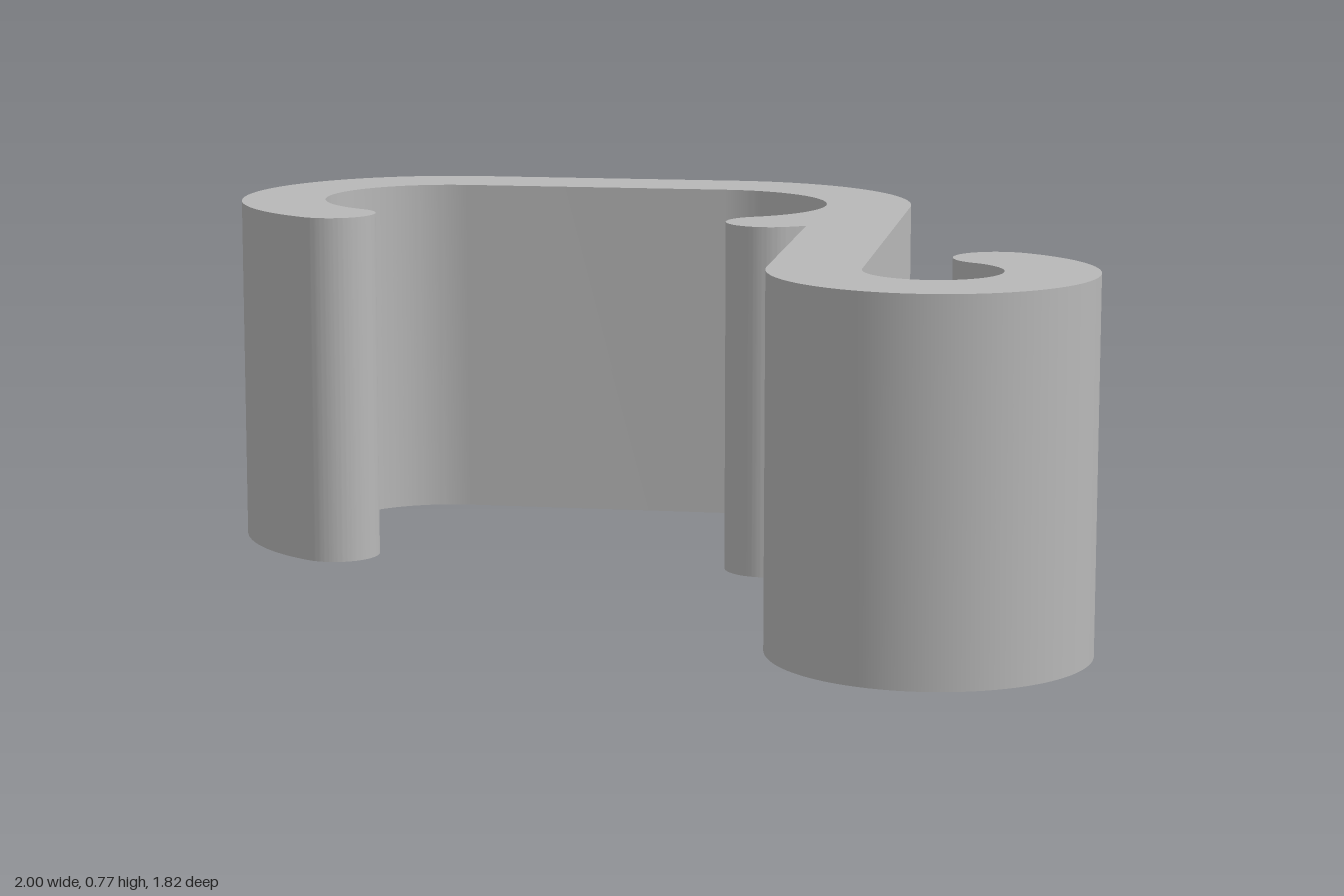
import * as THREE from 'three';
import { toCreasedNormals } from 'three/addons/utils/BufferGeometryUtils.js';

const HEIGHT = 0.77;
const WALL = 0.19; // strip thickness
const rad = THREE.MathUtils.degToRad;

export function createModel() {
  const group = new THREE.Group();
  group.name = 'hookClip';
  const grey = new THREE.MeshStandardMaterial({ color: 0xb8b8b8 });
  grey.name = 'grey plastic';

  // Bend centres; the shape's y is -z of the model
  const left = [-0.54, 0.45], right = [0.07, 0.45], hook = [0.67, -0.58];
  const clipOuter = 0.46, clipInner = clipOuter - WALL;
  const hookOuter = 0.33, hookInner = hookOuter - WALL;

  const shape = new THREE.Shape();
  // Arc by start and end angle in degrees; clockwise when the angle falls
  const arc = ([x, y], r, from, to) =>
    shape.absarc(x, y, r, rad(from), rad(to), to < from);
  // Round end of the strip at a given angle of a bend
  const cap = ([x, y], innerR, angle, from) => {
    const r = innerR + WALL / 2;
    arc([x + r * Math.cos(rad(angle)), y + r * Math.sin(rad(angle))], WALL / 2, from, from - 180);
  };

  // Outer side of the clip, from the left tip round the back
  arc(left, clipOuter, 240, 90);
  arc(right, clipOuter, 90, 0);
  // Down the straight arm, into and around the small hook
  arc(hook, hookInner, 180, 420);
  cap(hook, hookInner, 60, 240);
  arc(hook, hookOuter, 60, -180);
  // Back up the arm to the notch behind the right clip tip
  const notch = -THREE.MathUtils.radToDeg(Math.acos(clipInner / clipOuter));
  arc(right, clipOuter, notch, -60);
  cap(right, clipInner, -60, -60);
  // Inner side of the clip, ending at the left tip
  arc(right, clipInner, -60, 90);
  arc(left, clipInner, 90, 240);
  cap(left, clipInner, 240, 60);

  const extruded = new THREE.ExtrudeGeometry(shape, {
    depth: HEIGHT, bevelEnabled: false, curveSegments: 40,
  });
  extruded.rotateX(-Math.PI / 2);

  const body = new THREE.Mesh(toCreasedNormals(extruded, rad(30)), grey);
  body.name = 'clipBody';
  group.add(body);
  return group;
}
